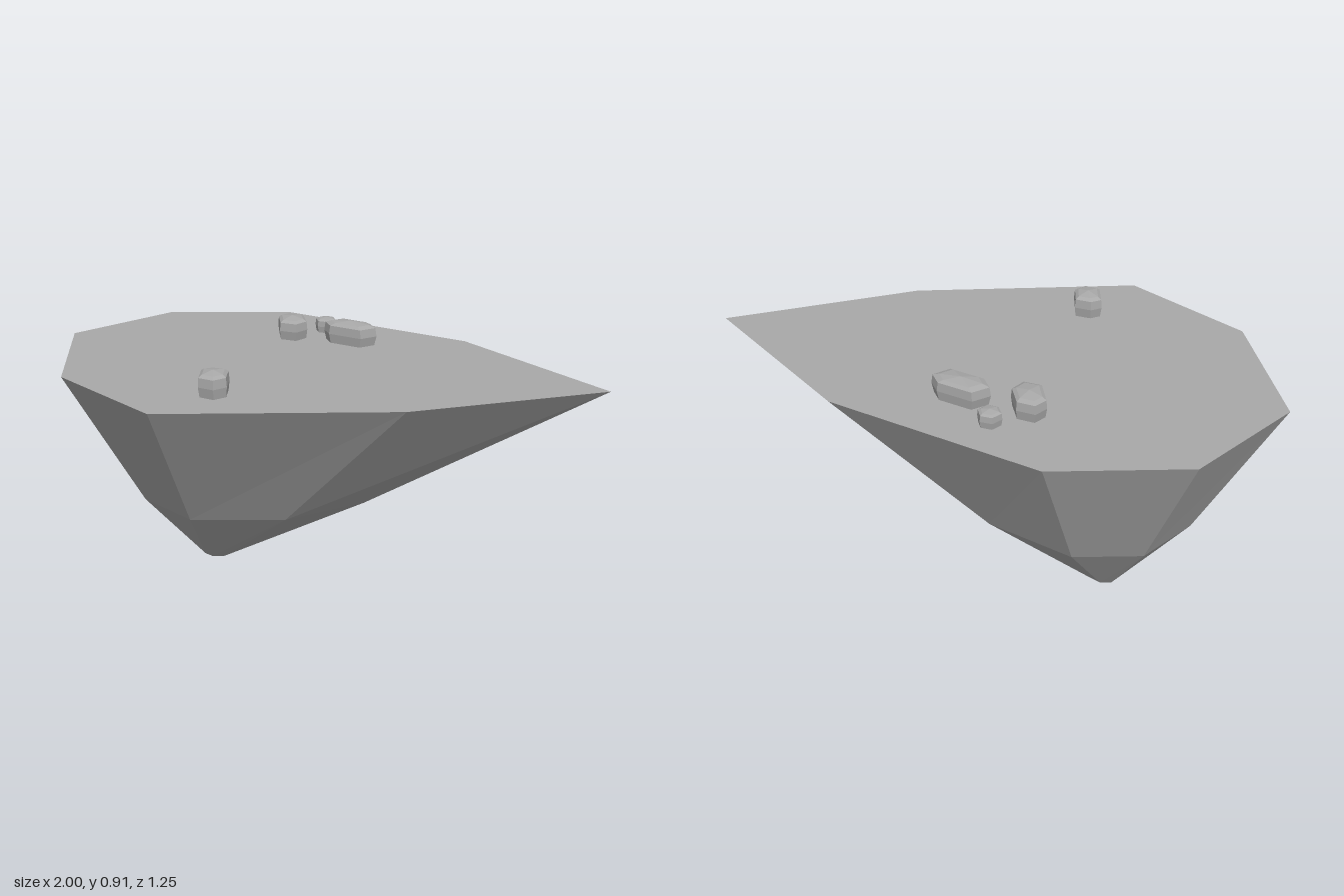
import * as THREE from 'three';

// Flat-shaded solid from stacked rings of [x, y, z], closed at both ends.
// Rings run bottom to top, counter-clockwise seen from above.
function loft(rings, bottom, top) {
  const pos = [];
  const tri = (a, b, c) => pos.push(...a, ...b, ...c);
  const n = rings[0].length;
  for (let i = 0; i < n; i++) {
    const j = (i + 1) % n;
    for (let r = 0; r < rings.length - 1; r++) {
      const lo = rings[r], hi = rings[r + 1];
      tri(lo[i], lo[j], hi[j]);
      tri(lo[i], hi[j], hi[i]);
    }
    const last = rings[rings.length - 1];
    tri(bottom, rings[0][j], rings[0][i]);
    tri(top, last[i], last[j]);
  }
  const geo = new THREE.BufferGeometry();
  geo.setAttribute('position', new THREE.Float32BufferAttribute(pos, 3));
  geo.computeVertexNormals();
  return geo;
}

const GROUND = 0.83;

// Island: wide outline on top, narrower waist, tiny foot
function islandGeometry() {
  const rim = [[-1, -0.075], [-0.78, 0.395], [-0.34, 0.62], [0.42, 0.33],
    [1, -0.08], [0.42, -0.47], [-0.34, -0.625], [-0.78, -0.47]];
  const waist = [[-0.73, -0.075], [-0.61, 0.165], [-0.38, 0.27], [-0.06, 0.16],
    [0.16, -0.077], [-0.06, -0.28], [-0.38, -0.365], [-0.61, -0.285]];
  const at = (pts, y) => pts.map(([x, z]) => [x, y, z]);
  const foot = rim.map((_, i) => {
    const a = Math.PI - i * Math.PI / 4;
    return [-0.435 + 0.055 * Math.cos(a), 0, -0.077 + 0.05 * Math.sin(a)];
  });
  return loft([foot, at(waist, 0.3), at(rim, GROUND)],
    [-0.435, 0, -0.077], [-0.2, GROUND, -0.05]);
}

// Rock: six-sided outline, bulging at the middle, with a shallow peak
function rockGeometry(outline, height) {
  const cx = outline.reduce((s, p) => s + p[0], 0) / outline.length;
  const cz = outline.reduce((s, p) => s + p[1], 0) / outline.length;
  const ring = (scale, t) => outline.map(([x, z]) =>
    [cx + (x - cx) * scale, GROUND + height * t, cz + (z - cz) * scale]);
  return loft([ring(0.92, 0), ring(1, 0.42), ring(0.95, 0.8), ring(0.72, 0.9)],
    [cx, GROUND, cz], [cx, GROUND + height, cz]);
}

export function createModel() {
  const group = new THREE.Group();
  const stone = new THREE.MeshStandardMaterial({ color: 0xa8a8a8 });
  stone.name = 'stone grey';

  const add = (name, geo) => {
    const mesh = new THREE.Mesh(geo, stone);
    mesh.name = name;
    group.add(mesh);
  };

  add('island', islandGeometry());

  const rocks = {
    longRock: [0.082, [[-0.085, -0.33], [-0.05, -0.283], [0.08, -0.257],
      [0.125, -0.31], [0.09, -0.355], [-0.038, -0.38]]],
    backRock: [0.08, [[-0.275, -0.345], [-0.235, -0.26], [-0.17, -0.257],
      [-0.145, -0.31], [-0.185, -0.385], [-0.25, -0.39]]],
    smallRock: [0.055, [[-0.155, -0.43], [-0.133, -0.395], [-0.092, -0.392],
      [-0.072, -0.43], [-0.092, -0.465], [-0.133, -0.465]]],
    frontRock: [0.083, [[-0.28, 0.345], [-0.253, 0.428], [-0.195, 0.437],
      [-0.165, 0.395], [-0.188, 0.32], [-0.248, 0.317]]],
  };
  for (const [name, [height, outline]] of Object.entries(rocks)) {
    add(name, rockGeometry(outline, height));
  }
  return group;
}
